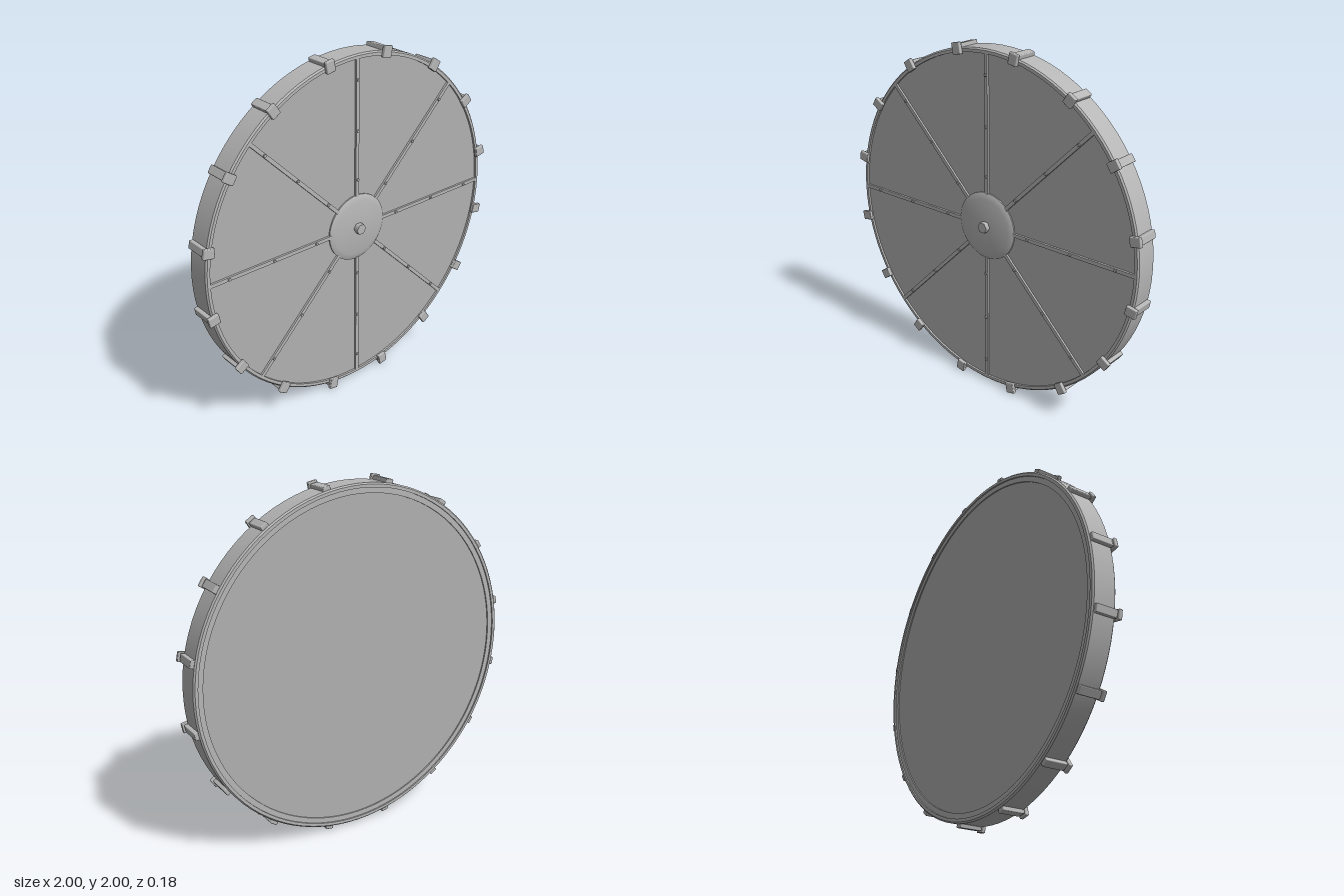
import * as THREE from 'three';
import { toCreasedNormals } from 'three/addons/utils/BufferGeometryUtils.js';
import { RoundedBoxGeometry } from 'three/addons/geometries/RoundedBoxGeometry.js';

export function createModel() {
  const metal = new THREE.MeshStandardMaterial({ color: 0xb6b6b6 });
  metal.name = 'light grey metal';
  const panelGrey = new THREE.MeshStandardMaterial({ color: 0xb0b0b0 });
  panelGrey.name = 'grey panel';

  const model = new THREE.Group();
  model.name = 'roundHatch';
  const wheel = new THREE.Group();
  wheel.name = 'wheel';
  wheel.position.y = 1;
  model.add(wheel);

  const add = (parent, name, geometry, material, x = 0, y = 0, z = 0) => {
    const mesh = new THREE.Mesh(geometry, material);
    mesh.name = name;
    mesh.position.set(x, y, z);
    parent.add(mesh);
    return mesh;
  };
  // Profile of [radius, z] pairs turned about the z axis
  const turned = (points, segments = 96) => {
    const g = new THREE.LatheGeometry(points.map(p => new THREE.Vector2(...p)), segments);
    return toCreasedNormals(g.rotateX(Math.PI / 2), 0.4);
  };
  const disc = (radius, depth, sides) =>
    new THREE.CylinderGeometry(radius, radius, depth, sides).rotateX(Math.PI / 2);

  // Outer band with chamfered edges
  add(wheel, 'rim', turned([
    [0.96, -0.087], [0.977, -0.087], [0.985, -0.079], [0.985, 0.047],
    [0.977, 0.055], [0.96, 0.055], [0.96, -0.087],
  ]), metal);
  // Stepped ring inside the back of the rim
  add(wheel, 'backRing', turned([
    [0.93, -0.06], [0.93, -0.079], [0.962, -0.079], [0.962, -0.06],
  ]), metal);
  add(wheel, 'panel', disc(0.962, 0.115, 96), panelGrey, 0, 0, -0.0145);

  // Central boss with a bevelled face and hexagonal bolt
  add(wheel, 'hub', turned([
    [0.195, 0.04], [0.195, 0.05], [0.185, 0.055], [0.16, 0.061], [0, 0.062],
  ], 64), metal);
  add(wheel, 'hubBolt', disc(0.032, 0.034, 6).rotateZ(Math.PI / 6 * 3), metal, 0, 0, 0.073);

  // Eight riveted spokes
  for (let i = 0; i < 8; i++) {
    const spoke = new THREE.Group();
    spoke.name = 'spoke';
    spoke.rotation.z = i * Math.PI / 4;
    wheel.add(spoke);
    add(spoke, 'spokeBar', new THREE.BoxGeometry(0.775, 0.021, 0.014), metal, 0.575, 0, 0.048);
    for (const r of [0.29, 0.57, 0.85]) {
      add(spoke, 'rivet', disc(0.008, 0.008, 10), metal, r, 0, 0.058);
    }
  }

  // Sixteen clamps hooked over the front edge
  const bar = new RoundedBoxGeometry(0.028, 0.045, 0.125, 2, 0.005);
  const hook = new RoundedBoxGeometry(0.064, 0.055, 0.022, 2, 0.005);
  for (let i = 0; i < 16; i++) {
    const clamp = new THREE.Group();
    clamp.name = 'clamp';
    clamp.rotation.z = (i + 0.5) * Math.PI / 8;
    wheel.add(clamp);
    add(clamp, 'clampBar', bar, metal, 0.992, 0, -0.0145);
    add(clamp, 'clampHook', hook, metal, 0.982, 0, 0.064);
    add(clamp, 'clampNeck', new THREE.BoxGeometry(0.018, 0.04, 0.025), metal, 0.993, 0, 0.05);
  }
  return model;
}
